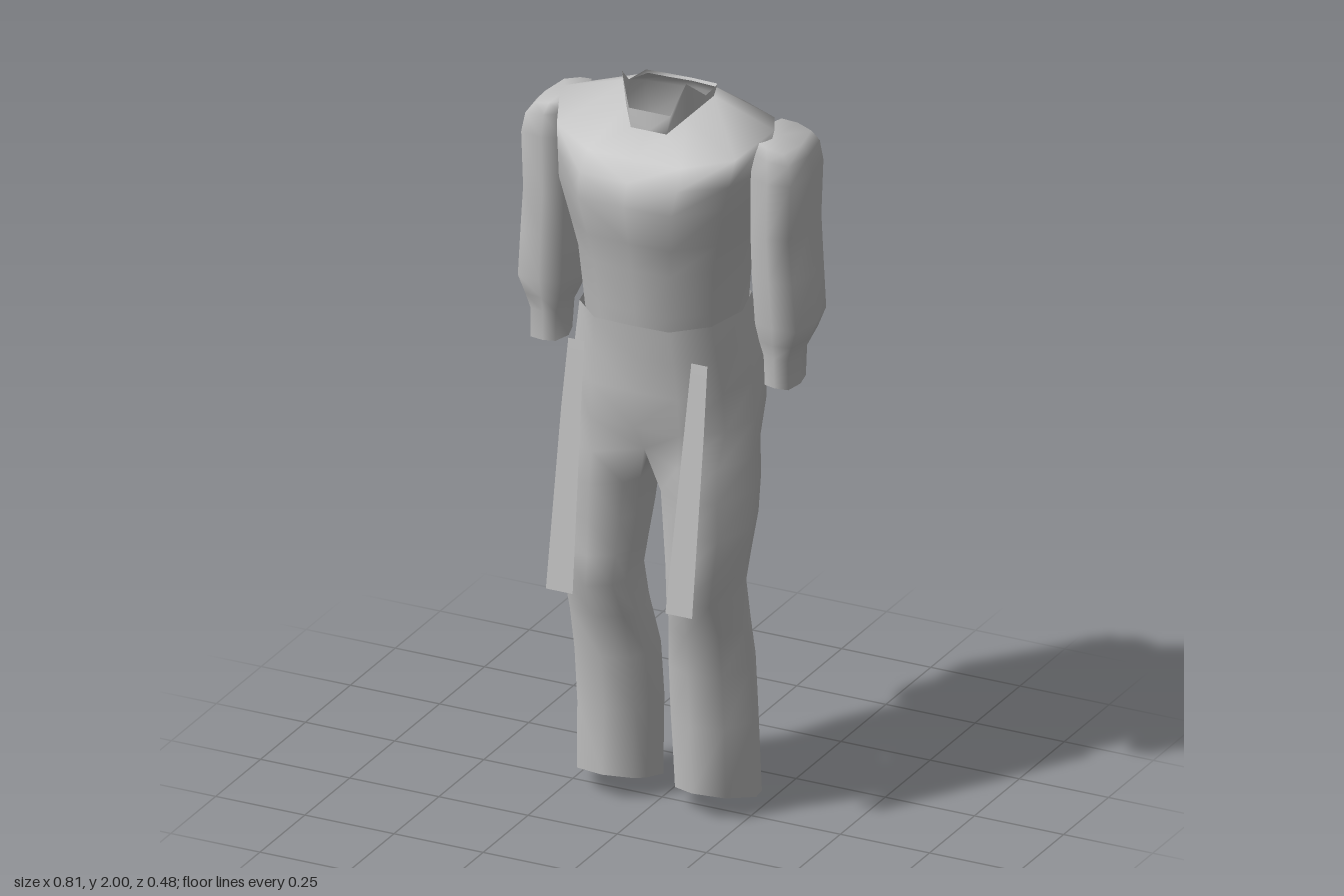
import * as THREE from 'three';
import { mergeGeometries, mergeVertices } from 'three/addons/utils/BufferGeometryUtils.js';

// Skin a stack of cross-sections (lowest first); side = -1 mirrors it in x
function loft(rows, closed, side = 1) {
  const n = rows[0].length, index = [];
  for (let r = 0; r < rows.length - 1; r++) {
    for (let i = 0; i < (closed ? n : n - 1); i++) {
      const j = (i + 1) % n;
      const a = r * n + i, b = r * n + j, c = b + n, d = a + n;
      if (side > 0) index.push(a, b, c, a, c, d);
      else index.push(a, c, b, a, d, c);
    }
  }
  const g = new THREE.BufferGeometry();
  const pos = rows.flat().flatMap(([x, y, z]) => [x * side, y, z]);
  g.setAttribute('position', new THREE.Float32BufferAttribute(pos, 3));
  g.setIndex(index);
  return g;
}

// Weld pieces and shade them smoothly
function weld(parts) {
  const g = mergeVertices(mergeGeometries(parts), 1e-4);
  g.computeVertexNormals();
  return g;
}

// Half a body section, from front centre round the side to back centre
const HALF = [[0, 1], [0.5, 0.98], [0.88, 0.6], [1, 0], [0.85, -0.68], [0.5, -0.95], [0, -1]];
function half([y, w, front, back]) {
  const mid = -0.03;
  return HALF.map(([u, v]) => [u * w, y, v > 0 ? mid + v * (front - mid) : mid - v * (back - mid)]);
}

// Closed limb section fitted to a box; slant raises the front, tilt lowers the outside
function limb(shape, [y, xi, xo, front, back, slant = 0, tilt = 0]) {
  return shape.map(([u, v]) => [xi + u * (xo - xi), y + slant * v - tilt * u, back + v * (front - back)]);
}
const LEG = [[0.1, 0.85], [0.42, 1], [0.82, 0.9], [1, 0.5], [0.85, 0.12], [0.45, 0], [0.12, 0.12], [0, 0.3], [0, 0.5], [0, 0.68]];
const ARM = [[0.15, 0.92], [0.5, 1], [0.9, 0.95], [1, 0.5], [0.88, 0.04], [0.5, 0], [0.15, 0.08], [0, 0.5]];

export function createModel() {
  const model = new THREE.Group();
  const cloth = new THREE.MeshStandardMaterial({ color: 0xc0c0c0, side: THREE.DoubleSide });
  cloth.name = 'grey cloth';
  const add = (name, geometry) => {
    const mesh = new THREE.Mesh(geometry, cloth);
    mesh.name = name;
    model.add(mesh);
  };

  // Jacket body, shoulders and neckline
  const neck = [[0, 1.865, 0.075], [0.05, 1.865, 0.075], [0.085, 1.9, 0.03], [0.115, 1.93, -0.06],
    [0.095, 1.93, -0.11], [0.07, 1.905, -0.16], [0, 1.905, -0.165]];
  const jacket = [
    ...[[1.32, 0.2, 0.14, -0.195], [1.4, 0.205, 0.155, -0.2], [1.52, 0.215, 0.172, -0.205],
      [1.6, 0.235, 0.188, -0.21], [1.71, 0.262, 0.215, -0.215], [1.77, 0.272, 0.195, -0.215]].map(half),
    [[0, 1.82, 0.16], [0.13, 1.82, 0.155], [0.25, 1.84, 0.09], [0.3, 1.885, -0.03],
      [0.25, 1.87, -0.13], [0.14, 1.87, -0.185], [0, 1.87, -0.2]],
    neck,
  ];
  add('jacket', weld([loft(jacket, false), loft(jacket, false, -1)]));

  // Stand-up collar with two points
  const collar = [neck, [[0, 1.915, 0.07], [0.058, 1.915, 0.07], [0.09, 2.0, 0.045], [0.108, 1.942, -0.03],
    [0.1, 1.938, -0.11], [0.07, 1.912, -0.165], [0, 1.912, -0.168]]];
  add('collar', weld([loft(collar, false), loft(collar, false, -1)]));

  // Trousers: a hip shell that splits into two legs at the crotch
  const crotch = [[0, 1.0, 0.1], [0.12, 0.99, 0.155], [0.215, 0.99, 0.12], [0.255, 0.99, 0], [0.215, 0.99, -0.12],
    [0.11, 0.99, -0.19], [0, 0.97, -0.14], [0, 0.975, -0.08], [0, 0.985, 0], [0, 0.99, 0.06]];
  const hips = [crotch.slice(0, 7), ...[[1.08, 0.248, 0.155, -0.225], [1.18, 0.24, 0.158, -0.24],
    [1.28, 0.225, 0.165, -0.217], [1.37, 0.21, 0.175, -0.2]].map(half)];
  const legs = [...[
    [0, 0.04, 0.245, 0.085, -0.16, 0.07], [0.25, 0.03, 0.245, 0.085, -0.14], [0.4, 0.032, 0.245, 0.1, -0.125],
    [0.52, 0.045, 0.245, 0.12, -0.09], [0.62, 0.058, 0.235, 0.165, -0.085], [0.7, 0.05, 0.245, 0.158, -0.1],
    [0.8, 0.038, 0.26, 0.155, -0.12], [0.9, 0.03, 0.26, 0.157, -0.14]].map(r => limb(LEG, r)), crotch];
  add('trousers', weld([1, -1].flatMap(s => [loft(hips, false, s), loft(legs, true, s)])));

  // Sleeves, with a narrow cuff and a rounded, closed shoulder
  const sleeve = [
    [1.2, 0.28, 0.37, 0.02, -0.092], [1.28, 0.277, 0.37, 0.022, -0.1], [1.32, 0.262, 0.385, 0.03, -0.14],
    [1.37, 0.248, 0.406, 0.038, -0.153], [1.5, 0.242, 0.396, 0.043, -0.158], [1.62, 0.24, 0.387, 0.045, -0.162],
    [1.77, 0.24, 0.393, 0.045, -0.163], [1.84, 0.245, 0.382, 0.04, -0.16, 0, 0.02],
    [1.872, 0.25, 0.36, 0.025, -0.15, 0, 0.027], [1.86, 0.3, 0.3, -0.06, -0.06]].map(r => limb(ARM, r));

  // Two flat straps hang from the waist
  const strap = [[[0.13, 0.63, 0.24], [0.205, 0.63, 0.24]], [[0.145, 1.1, 0.165], [0.2, 1.1, 0.165]],
    [[0.15, 1.28, 0.135], [0.195, 1.28, 0.135]]];

  for (const [s, label] of [[1, 'left'], [-1, 'right']]) {
    add(label + 'Sleeve', weld([loft(sleeve, true, s)]));
    add(label + 'Strap', weld([loft(strap, false, s)]));
  }
  return model;
}
